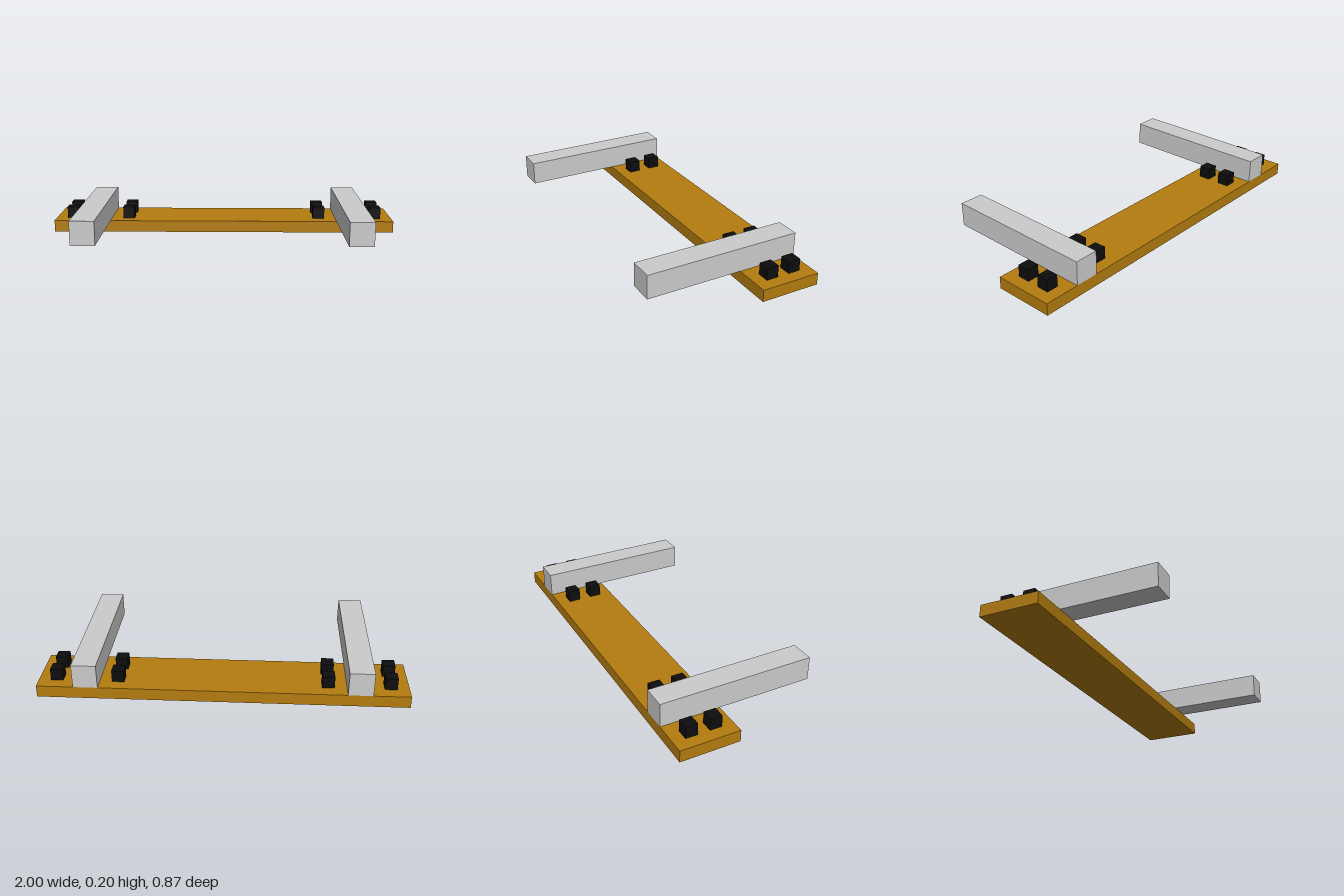
import * as THREE from 'three';

const U = 1 / 15; // base unit: plank thickness and bolt size

export function createModel() {
  const group = new THREE.Group();
  const wood = new THREE.MeshStandardMaterial({ color: 0xb37c10 });
  const grey = new THREE.MeshStandardMaterial({ color: 0xcccccc });
  const black = new THREE.MeshStandardMaterial({ color: 0x0d0d0d });

  const box = (name, material, size, position) => {
    const mesh = new THREE.Mesh(new THREE.BoxGeometry(...size), material);
    mesh.name = name;
    mesh.position.set(...position);
    group.add(mesh);
  };

  // Wide plank along the back
  box('plank', wood, [2, U, 5 * U], [0, U / 2, -4 * U]);

  for (const [side, s] of [['left', 1], ['right', -1]]) {
    // Bar resting on the plank and reaching forward
    box(`${side}Bar`, grey, [2 * U, 2 * U, 13 * U], [s * 11 * U, 2 * U, 0]);

    // Two square bolts on each side of the bar
    for (const [place, x] of [['Inner', 8.5], ['Outer', 13.5]]) {
      for (const [end, z] of [['Front', -3], ['Back', -5]]) {
        box(`${side}${place}${end}Bolt`, black, [U, U, U], [s * x * U, 1.5 * U, z * U]);
      }
    }
  }
  return group;
}
